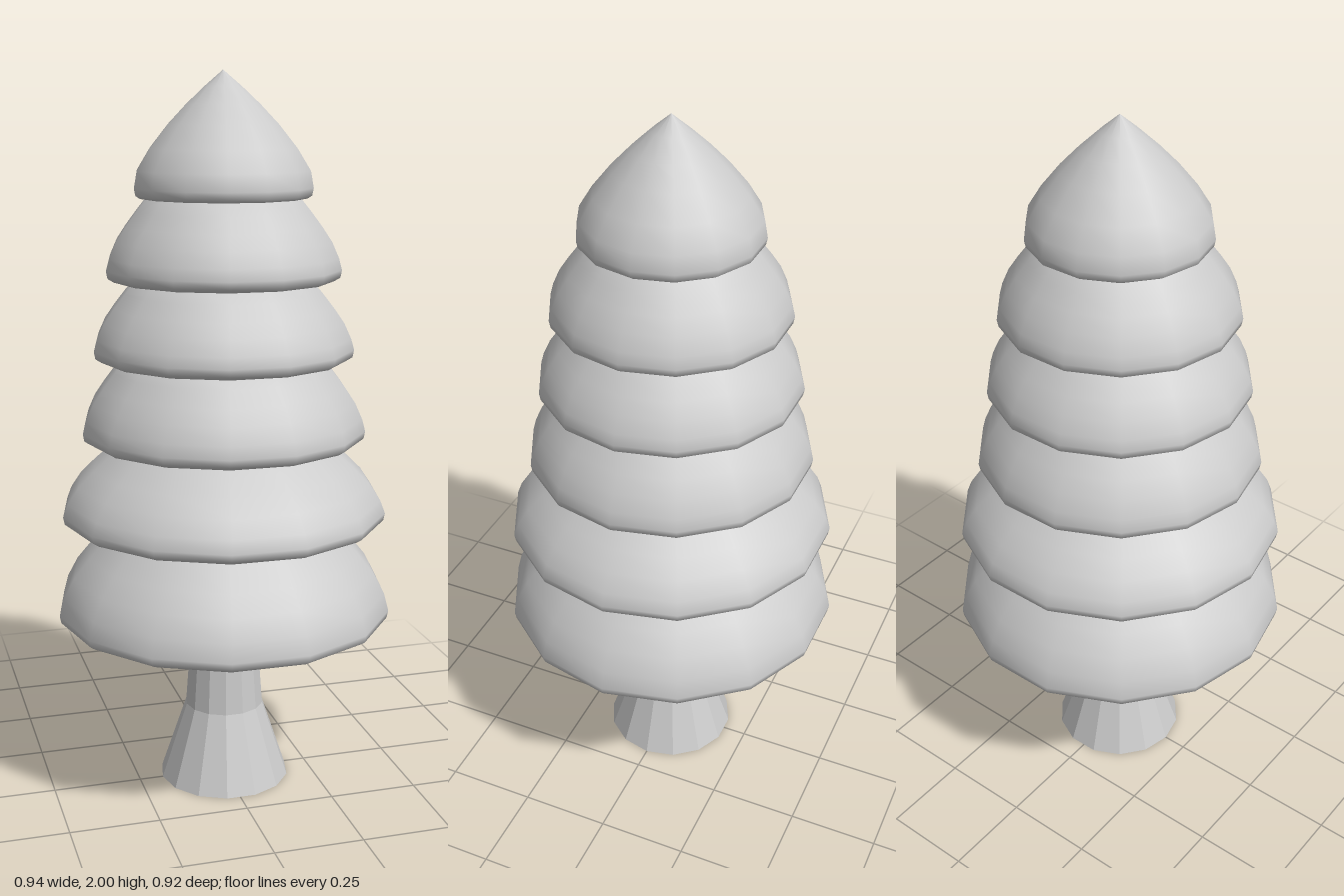
import * as THREE from 'three';

const SIDES = 14;

// Turns a [radius, height] profile, listed bottom to top, with a corner on the x axis
function turned(name, profile, options = {}) {
  const points = profile.map(([r, y]) => new THREE.Vector2(r, y));
  const geometry = new THREE.LatheGeometry(points, SIDES, Math.PI / 2);
  const mesh = new THREE.Mesh(geometry, new THREE.MeshStandardMaterial({ color: 0xcccccc, ...options }));
  mesh.name = name;
  return mesh;
}

export function createModel() {
  const tree = new THREE.Group();
  tree.name = 'tree';

  // Faceted trunk, flared at the foot and open underneath
  const trunk = turned('trunk', [[0.186, 0], [0.112, 0.22], [0.09, 0.52]],
    { flatShading: true, side: THREE.DoubleSide });
  trunk.position.x = 0.003;
  tree.add(trunk);

  // Branch tiers: base height, widest radius, height and radius where the next tier covers it
  const tiers = [
    [0.495, 0.472, 0.79, 0.285],
    [0.78, 0.455, 1.02, 0.265],
    [1.01, 0.395, 1.245, 0.27],
    [1.235, 0.36, 1.455, 0.24],
    [1.45, 0.323, 1.675, 0.205],
  ];
  const foliage = new THREE.Group();
  foliage.name = 'foliage';
  tiers.forEach(([y, r, topY, topR], i) => {
    const h = topY - y;
    const at = (t, k) => [topR + (r - topR) * k, y + h * t];
    foliage.add(turned(`branchTier${i + 1}`, [
      [0, y], [r * 0.8, y], [r - 0.02, y], [r - 0.004, y + 0.01], [r, y + 0.03],
      at(0.27, 0.93), at(0.46, 0.77), at(0.64, 0.54), at(0.82, 0.28), [topR, topY],
      [topR * 0.6, topY + 0.07],
    ]));
  });

  // Pointed top tier
  foliage.add(turned('treetop', [
    [0, 1.668], [0.19, 1.668], [0.228, 1.668], [0.24, 1.676], [0.244, 1.695],
    [0.236, 1.74], [0.2, 1.798], [0.15, 1.86], [0.1, 1.912], [0.05, 1.958], [0, 2],
  ]));
  tree.add(foliage);
  return tree;
}
